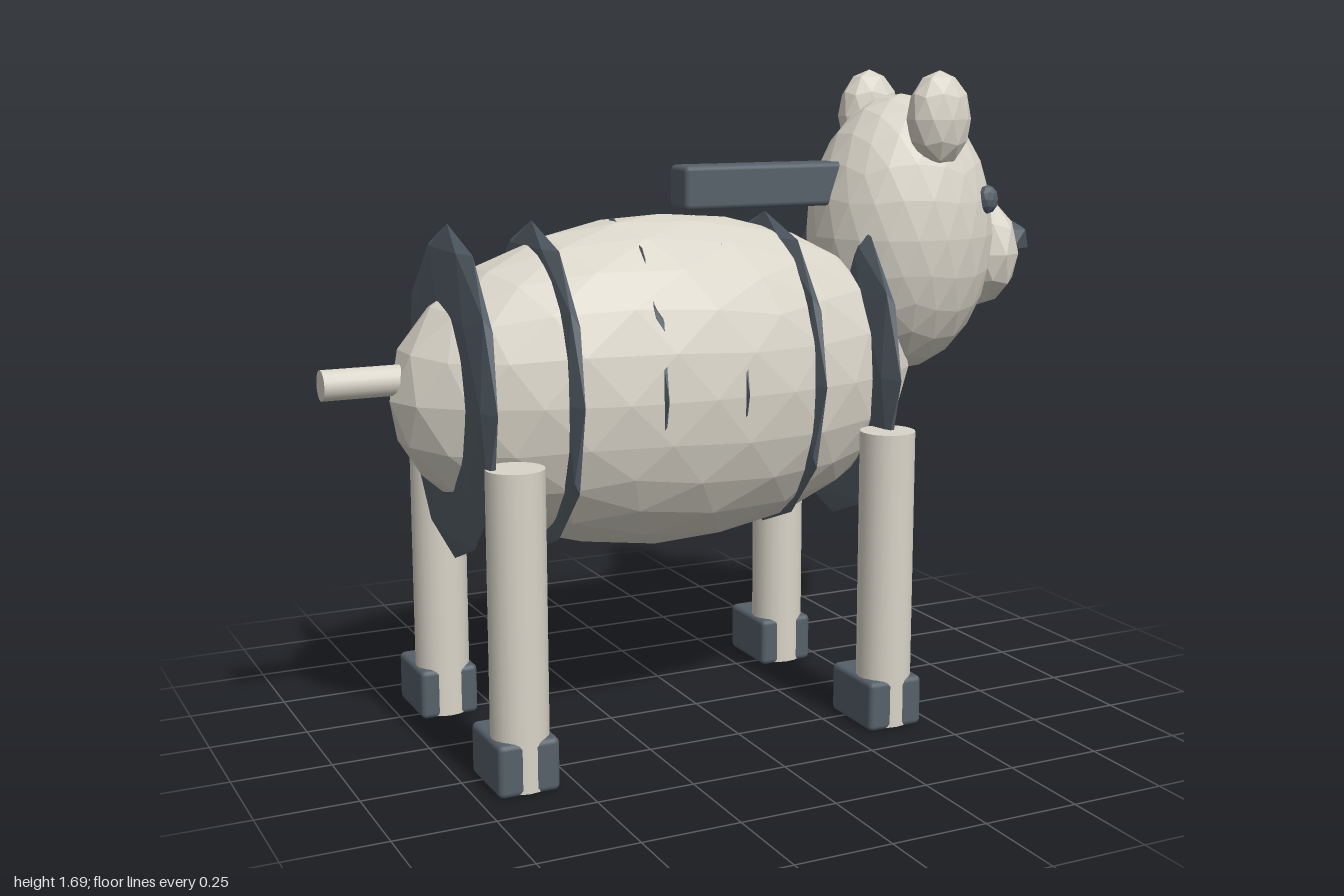
import * as THREE from 'three';
import { RoundedBoxGeometry } from 'three/addons/geometries/RoundedBoxGeometry.js';

const MID_Z = 0.03; // the animal's centre plane

export function createModel() {
  const model = new THREE.Group();
  model.name = 'stripedAnimal';
  const cream = new THREE.MeshStandardMaterial({ color: 0xd9d4c8 });
  cream.name = 'cream';
  const slate = new THREE.MeshStandardMaterial({ color: 0x566069 });
  slate.name = 'slate';

  function add(name, geometry, material, x, y, z) {
    const mesh = new THREE.Mesh(geometry, material);
    mesh.name = name;
    mesh.position.set(x, y, z);
    model.add(mesh);
    return mesh;
  }

  // Faceted ellipsoid with a corner pointing straight up
  function blob(name, material, detail, [rx, ry, rz], [x, y, z]) {
    const g = new THREE.IcosahedronGeometry(1, detail);
    g.rotateX(-Math.atan((1 + Math.sqrt(5)) / 2));
    g.rotateY(Math.PI / 2);
    g.scale(rx, ry, rz);
    g.computeVertexNormals(); // unshared corners give flat facets
    return add(name, g, material, x, y, z);
  }

  // Body and its stripes, thin discs that break through the surface
  blob('body', cream, 3, [0.72, 0.425, 0.33], [-0.115, 0.905, MID_Z]);
  for (let i = 0; i < 6; i++) {
    blob('stripe', slate, 1, [0.035, 0.415, 0.336], [-0.68 + i * 0.216, 0.912, MID_Z]);
  }

  // Head, muzzle and nose
  blob('head', cream, 3, [0.257, 0.372, 0.238], [0.595, 1.253, MID_Z]);
  blob('muzzle', cream, 1, [0.1, 0.156, 0.157], [0.84, 1.195, MID_Z]);
  blob('nose', slate, 0, [0.07, 0.059, 0.09], [0.937, 1.227, MID_Z]);

  // Ears and eyes
  for (const side of [-1, 1]) {
    blob('ear', cream, 1, [0.09, 0.125, 0.068], [0.6, 1.562, MID_Z + side * 0.175]);
    blob('eye', slate, 1, [0.03, 0.038, 0.024], [0.755, 1.35, MID_Z + side * 0.181]);
  }

  // Mane bar running back from the head
  add('mane', new RoundedBoxGeometry(0.5, 0.113, 0.1, 2, 0.014), slate, 0.186, 1.394, 0.024);

  // Tail
  const tail = new THREE.CylinderGeometry(0.038, 0.038, 0.3, 16);
  tail.rotateZ(Math.PI / 2);
  add('tail', tail, cream, -0.85, 0.955, 0.024);

  // Legs and hooves
  for (const x of [-0.627, 0.386]) {
    for (const [legZ, hoofZ] of [[0.327, 0.2945], [-0.261, -0.2985]]) {
      add('leg', new THREE.CylinderGeometry(0.071, 0.071, 0.775, 20), cream, x, 0.3925, legZ);
      add('hoof', new RoundedBoxGeometry(0.155, 0.132, 0.201, 2, 0.014), slate, x, 0.066, hoofZ);
    }
  }
  return model;
}
